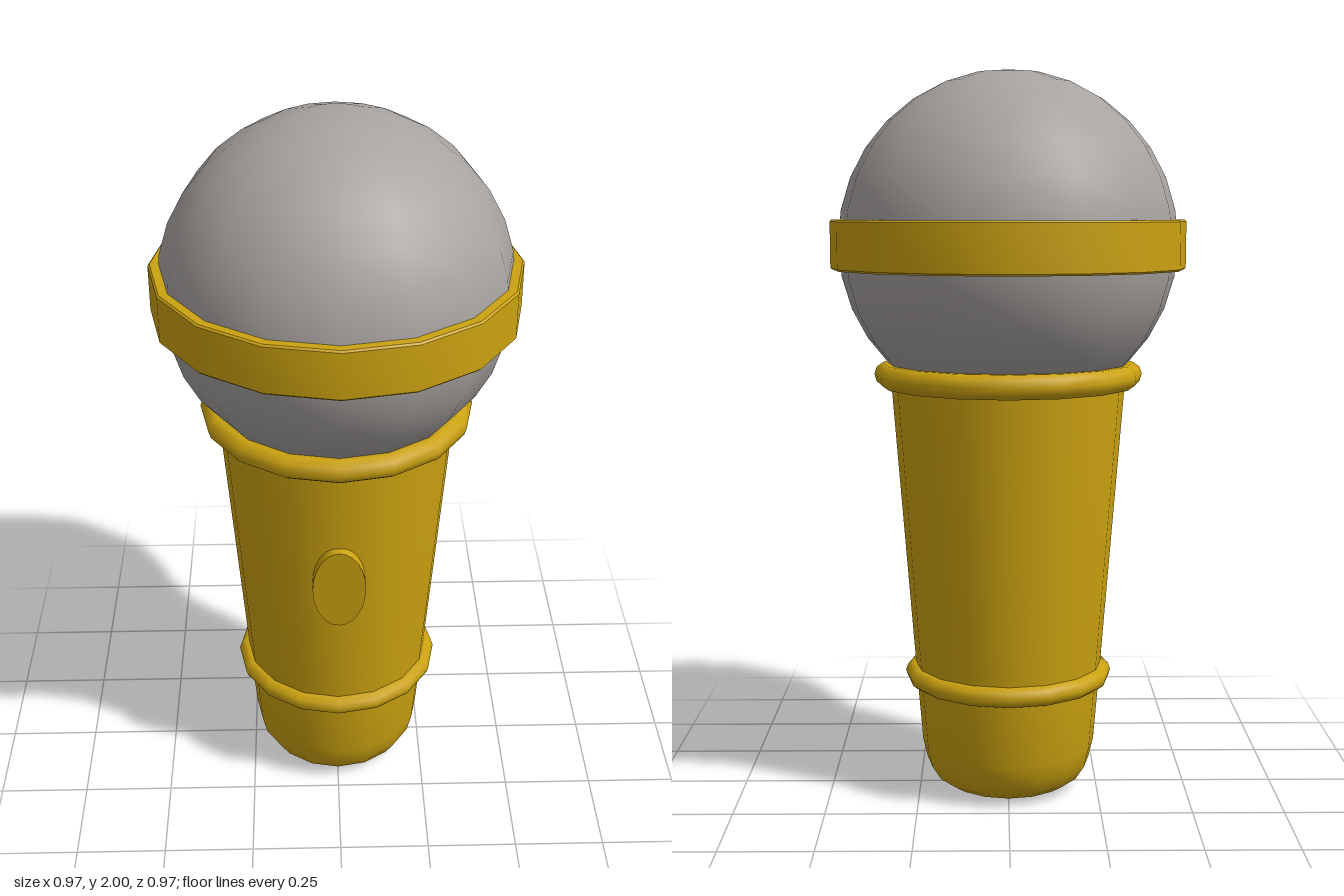
import * as THREE from 'three';
import { toCreasedNormals } from 'three/addons/utils/BufferGeometryUtils.js';

const SIDES = 16;

export function createModel() {
  const model = new THREE.Group();
  model.name = 'microphone';
  const gold = new THREE.MeshStandardMaterial({ color: 0xcba210 });
  gold.name = 'gold';
  const grey = new THREE.MeshStandardMaterial({ color: 0xa7a3a0 });
  grey.name = 'warm grey';

  const add = (name, geometry, material, y = 0) => {
    const mesh = new THREE.Mesh(geometry, material);
    mesh.name = name;
    mesh.position.y = y;
    model.add(mesh);
    return mesh;
  };
  const lathe = (points, crease) => toCreasedNormals(
    new THREE.LatheGeometry(points.map(([r, y]) => new THREE.Vector2(r, y)), SIDES), crease);

  // Tapered handle with a rounded foot
  add('handle', lathe([
    [0, 0.003], [0.12, 0.005], [0.17, 0.014], [0.205, 0.036], [0.23, 0.075],
    [0.243, 0.13], [0.257, 0.3], [0.324, 1.16], [0.324, 1.18], [0, 1.18],
  ], 0.7), gold);

  // Round collars around the handle
  for (const [name, radius, tube, y] of [
    ['lowerCollar', 0.262, 0.028, 0.333],
    ['upperCollar', 0.336, 0.034, 1.177],
  ]) {
    add(name, new THREE.TorusGeometry(radius, tube, 10, SIDES).rotateX(Math.PI / 2), gold, y);
  }

  // Head
  add('head', new THREE.SphereGeometry(0.465, SIDES, 16), grey, 1.535);

  // Flat band with slightly bevelled rims
  add('headBand', lathe([
    [0.44, 1.465], [0.482, 1.465], [0.487, 1.47],
    [0.487, 1.595], [0.482, 1.6], [0.44, 1.6],
  ], 0.6), gold);

  // Oval switch lying along the slope of the handle
  const button = add('switch', new THREE.CylinderGeometry(1, 1, 0.045, 24)
    .rotateX(Math.PI / 2).scale(0.072, 0.128, 1), gold, 0.782);
  button.position.z = 0.293;
  button.rotation.x = 0.078;

  return model;
}
